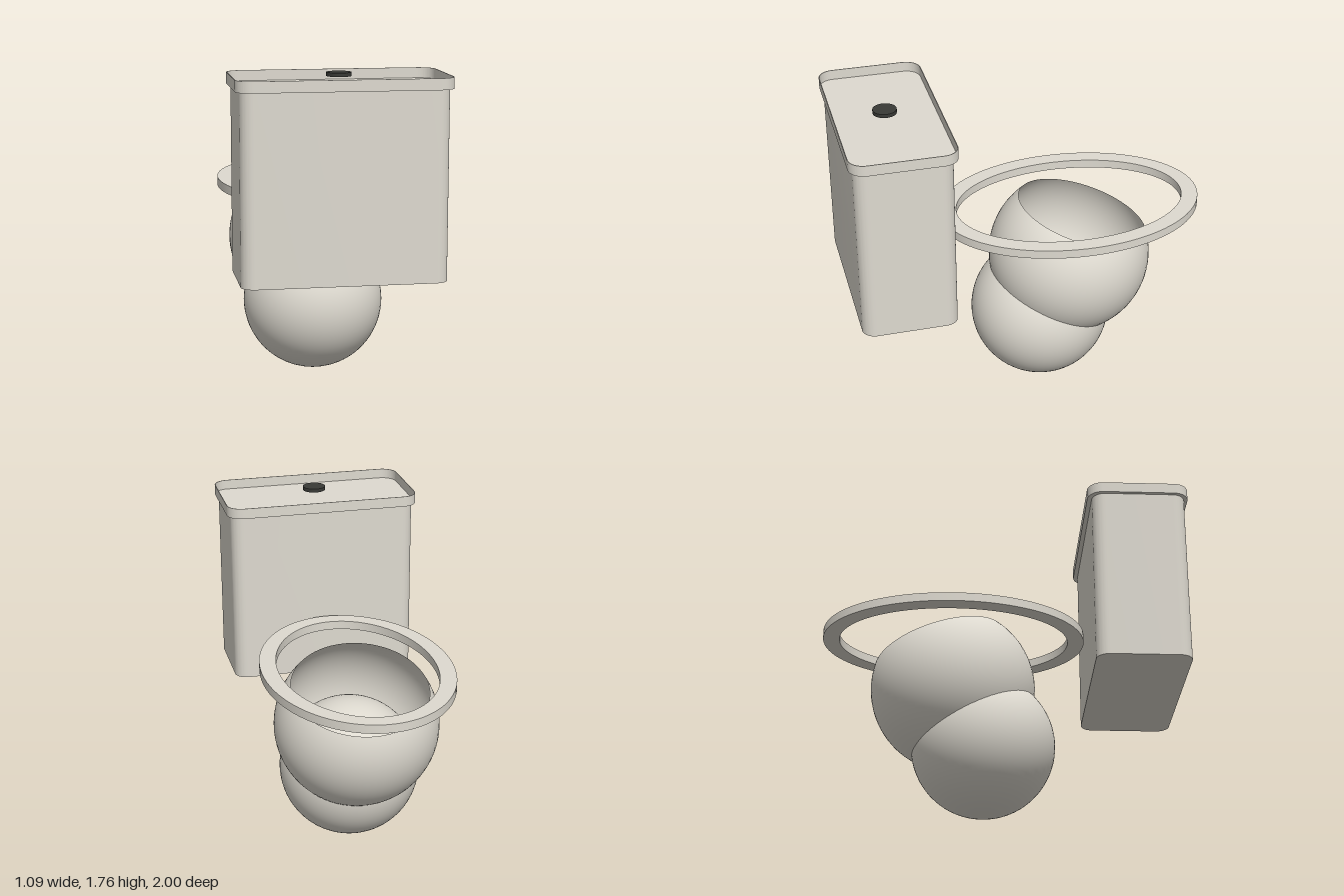
import * as THREE from 'three';
import { toCreasedNormals } from 'three/addons/utils/BufferGeometryUtils.js';

const ceramic = new THREE.MeshStandardMaterial({ color: 0xdedad0, side: THREE.DoubleSide });
ceramic.name = 'warm white ceramic';
const dark = new THREE.MeshStandardMaterial({ color: 0x393a36 });
dark.name = 'dark button';

// Rounded rectangle outline, centred on the origin
function roundedRect(w, d, r, Type = THREE.Shape) {
  const x = w / 2 - r, y = d / 2 - r, s = new Type();
  s.absarc(x, y, r, 0, Math.PI / 2);
  s.absarc(-x, y, r, Math.PI / 2, Math.PI);
  s.absarc(-x, -y, r, Math.PI, Math.PI * 1.5);
  s.absarc(x, -y, r, Math.PI * 1.5, Math.PI * 2);
  s.closePath();
  return s;
}

// Extrude an outline upward from y0 to y1
function slab(name, shape, y0, y1, z, segments = 10) {
  const geo = new THREE.ExtrudeGeometry(shape, { depth: y1 - y0, bevelEnabled: false, curveSegments: segments });
  geo.rotateX(-Math.PI / 2);
  const mesh = new THREE.Mesh(toCreasedNormals(geo, 0.6), ceramic);
  mesh.name = name;
  mesh.position.set(0, y0, z);
  return mesh;
}

export function createModel() {
  const model = new THREE.Group();
  model.name = 'toilet';

  // Cistern with a shallow open tray as its lid
  model.add(slab('tank', roundedRect(1.045, 0.51, 0.07), 0.72, 1.69, 0.725));
  const lidW = 1.085, lidD = 0.555, lidR = 0.085, wall = 0.004;
  model.add(slab('lidFloor', roundedRect(lidW, lidD, lidR), 1.69, 1.694, 0.7225));
  const rim = roundedRect(lidW, lidD, lidR);
  rim.holes.push(roundedRect(lidW - 2 * wall, lidD - 2 * wall, lidR - wall, THREE.Path));
  model.add(slab('lidRim', rim, 1.69, 1.748, 0.7225));

  // Flush button
  const button = new THREE.Mesh(new THREE.CylinderGeometry(0.063, 0.063, 0.02, 32), dark);
  button.name = 'flushButton';
  button.position.set(0, 1.75, 0.728);
  model.add(button);

  // Oval seat ring
  const ring = new THREE.Shape();
  ring.absellipse(0, 0, 0.512, 0.725, 0, Math.PI * 2);
  const hole = new THREE.Path();
  hole.absellipse(0, 0, 0.422, 0.635, 0, Math.PI * 2);
  ring.holes.push(hole);
  model.add(slab('seat', ring, 1.018, 1.066, -0.275, 48));

  // Open bowl, tipped backward
  const open = 0.974;
  const bowl = new THREE.Mesh(
    new THREE.SphereGeometry(0.45, 64, 40, 0, Math.PI * 2, open, Math.PI - open), ceramic);
  bowl.name = 'bowl';
  bowl.position.set(0, 0.727, -0.275);
  bowl.rotation.x = -0.307;
  model.add(bowl);

  // Round foot, whose top rises inside the bowl
  const foot = new THREE.Mesh(new THREE.SphereGeometry(0.39, 64, 40), ceramic);
  foot.name = 'foot';
  foot.position.set(0, 0.393, -0.108);
  model.add(foot);

  return model;
}
